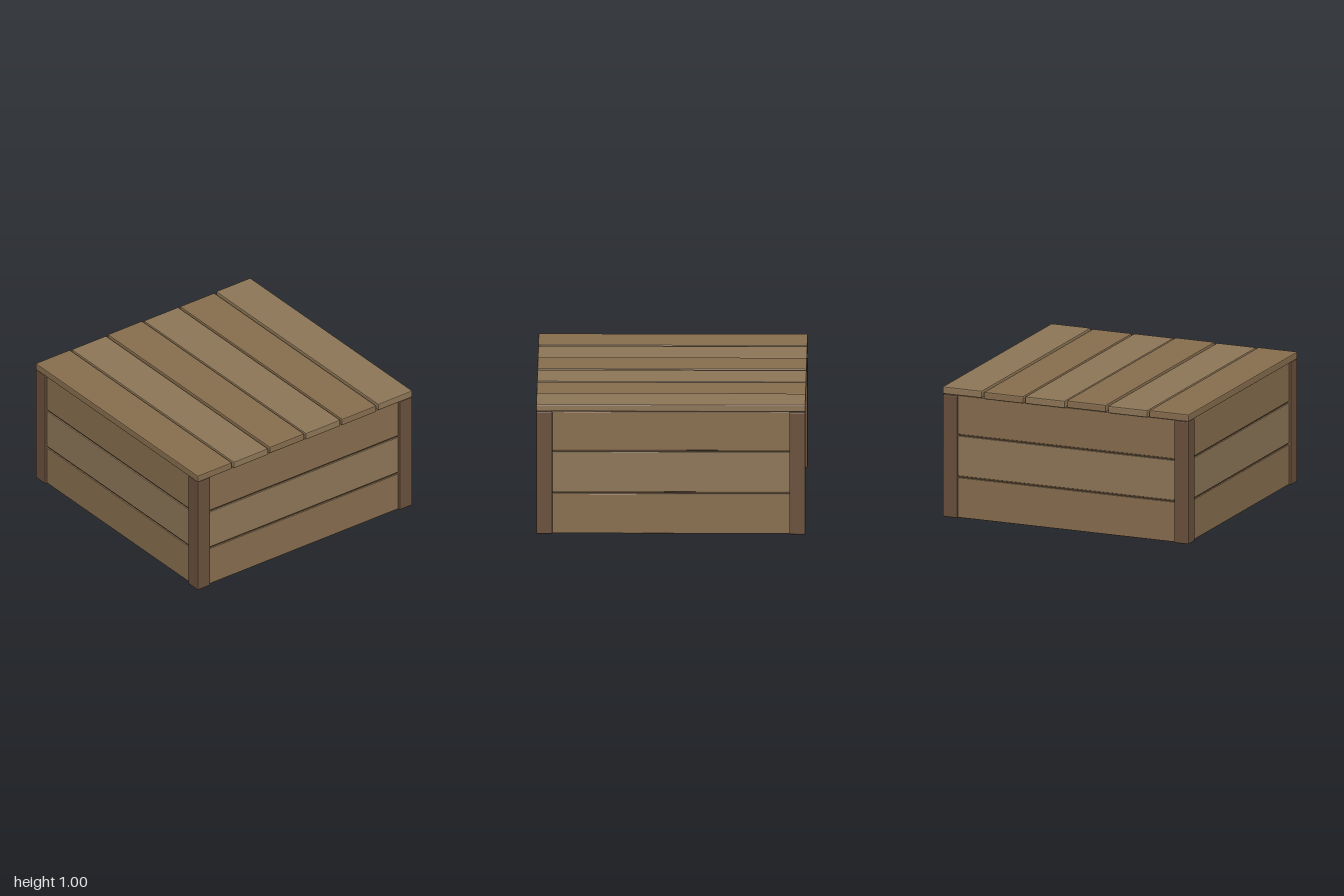
import * as THREE from 'three';
import { RoundedBoxGeometry } from 'three/addons/geometries/RoundedBoxGeometry.js';

const wood = (color) => new THREE.MeshStandardMaterial({ color, flatShading: true });

export function createModel() {
  const model = new THREE.Group();
  const light = wood(0x8d7657);
  const mid = wood(0x876d4e);
  const dark = wood(0x69503c);
  const shadow = wood(0x4d3b29);

  // Board with small chamfered edges, given by its min and max corners
  const board = (name, parent, material, [x0, y0, z0], [x1, y1, z1], bevel) => {
    const mesh = new THREE.Mesh(new RoundedBoxGeometry(x1 - x0, y1 - y0, z1 - z0, 1, bevel), material);
    mesh.position.set((x0 + x1) / 2, (y0 + y1) / 2, (z0 + z1) / 2);
    mesh.name = name;
    parent.add(mesh);
  };

  // Solid core seen in the gaps and from below
  const core = new THREE.Mesh(new THREE.BoxGeometry(1.94, 0.935, 1.94), shadow);
  core.position.y = 0.4675;
  core.name = 'core';
  model.add(core);

  // Corner posts
  for (const x of [-0.94, 0.94]) {
    for (const z of [-0.94, 0.94]) {
      board('cornerPost', model, dark, [x - 0.06, 0, z - 0.06], [x + 0.06, 0.943, z + 0.06], 0.01);
    }
  }

  // Four walls of three planks, set back slightly from the posts
  const rows = [[0.002, 0.309], [0.322, 0.629], [0.642, 0.94]];
  for (let side = 0; side < 4; side++) {
    const wall = new THREE.Group();
    wall.name = 'wall';
    wall.rotation.y = side * Math.PI / 2;
    rows.forEach(([y0, y1], i) => {
      board('wallPlank', wall, i === 1 ? light : mid, [-0.9, y0, 0.92], [0.9, y1, 0.982], 0.006);
    });
    model.add(wall);
  }

  // Six lid slats from back to front, with slightly uneven heights
  const tops = [1, 0.994, 0.995, 1, 0.995, 0.998];
  const width = 0.32, pitch = (2 - width) / 5;
  tops.forEach((top, i) => {
    const z = -1 + i * pitch;
    board('lidSlat', model, i % 2 ? mid : light, [-1, top - 0.055, z], [1, top, z + width], 0.008);
  });

  return model;
}
